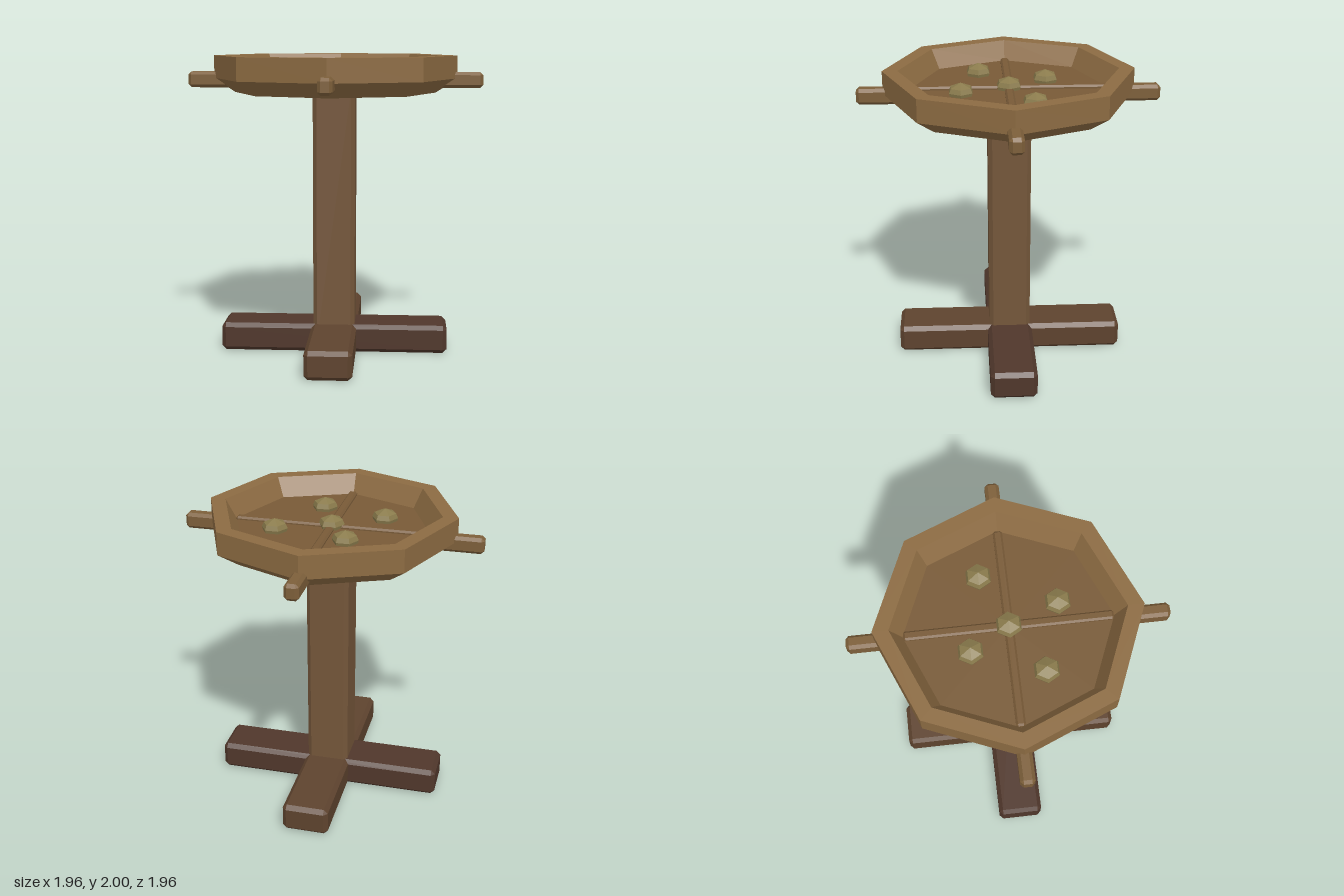
import * as THREE from 'three';
import { ConvexGeometry } from 'three/addons/geometries/ConvexGeometry.js';

const mat = (color) => new THREE.MeshStandardMaterial({ color, flatShading: true });
const rimWood = mat(0x8c6b42);
const floorWood = mat(0x785a37);
const postWood = mat(0x74563a);
const footWood = mat(0x5e432e);
const darkFootWood = mat(0x50372b);
const handleWood = mat(0x7d5f3a);
const knobStone = mat(0x8a7b4c);

// Box with every edge cut by a chamfer c
function chamferBox(w, h, d, c) {
  const points = [];
  for (const x of [-1, 1]) for (const y of [-1, 1]) for (const z of [-1, 1]) {
    const [a, b, e] = [w / 2, h / 2, d / 2];
    points.push(
      new THREE.Vector3(x * a, y * (b - c), z * (e - c)),
      new THREE.Vector3(x * (a - c), y * b, z * (e - c)),
      new THREE.Vector3(x * (a - c), y * (b - c), z * e)
    );
  }
  return new ConvexGeometry(points);
}

// Faceted solid of revolution from [radius, height] pairs
function facetedLathe(profile, sides, start = 0) {
  return new THREE.LatheGeometry(profile.map(([r, y]) => new THREE.Vector2(r, y)), sides, start);
}

export function createModel() {
  const model = new THREE.Group();
  model.name = 'pedestalTable';

  function add(name, geometry, material, x = 0, y = 0, z = 0) {
    const mesh = new THREE.Mesh(geometry, material);
    mesh.name = name;
    mesh.position.set(x, y, z);
    model.add(mesh);
    return mesh;
  }

  // Crossed feet
  add('footAcross', chamferBox(1.53, 0.19, 0.306, 0.027), darkFootWood, 0, 0.098, 0);
  add('footAlong', chamferBox(0.306, 0.19, 1.53, 0.027), footWood, 0, 0.0985, 0);

  // Square post with chamfered corners
  add('post', chamferBox(0.28, 1.75, 0.28, 0.026), postWood, 0, 0.925, 0);

  // Octagonal tray: underside, outer wall, rim and sloping inner wall
  add('trayRim', facetedLathe([
    [0, 1.756], [0.67, 1.756], [0.81, 1.85], [0.81, 2], [0.71, 2], [0.64, 1.875]
  ], 8), rimWood);
  add('trayFloor', facetedLathe([[0.64, 1.875], [0, 1.875]], 8), floorWood);

  // Low crossed ribs on the tray floor
  add('ribAcross', chamferBox(1.27, 0.04, 0.058, 0.012), floorWood, 0, 1.875, 0);
  add('ribAlong', chamferBox(0.058, 0.044, 1.27, 0.012), floorWood, 0, 1.875, 0);

  // Four handles around the tray
  const handle = chamferBox(0.29, 0.105, 0.09, 0.02);
  for (let i = 0; i < 4; i++) {
    const a = i * Math.PI / 2;
    add('handle', handle, handleWood, Math.cos(a) * 0.835, 1.84, -Math.sin(a) * 0.835).rotation.y = a;
  }

  // Hexagonal domed knobs
  const knob = facetedLathe([[0.076, -0.02], [0.085, 0.015], [0.072, 0.045], [0, 0.075]], 6, Math.PI / 2);
  for (const [x, z] of [[0, 0], [-0.145, -0.245], [0.335, -0.15], [-0.31, 0.19], [0.12, 0.31]]) {
    add('knob', knob, knobStone, x, 1.88, z);
  }

  return model;
}
